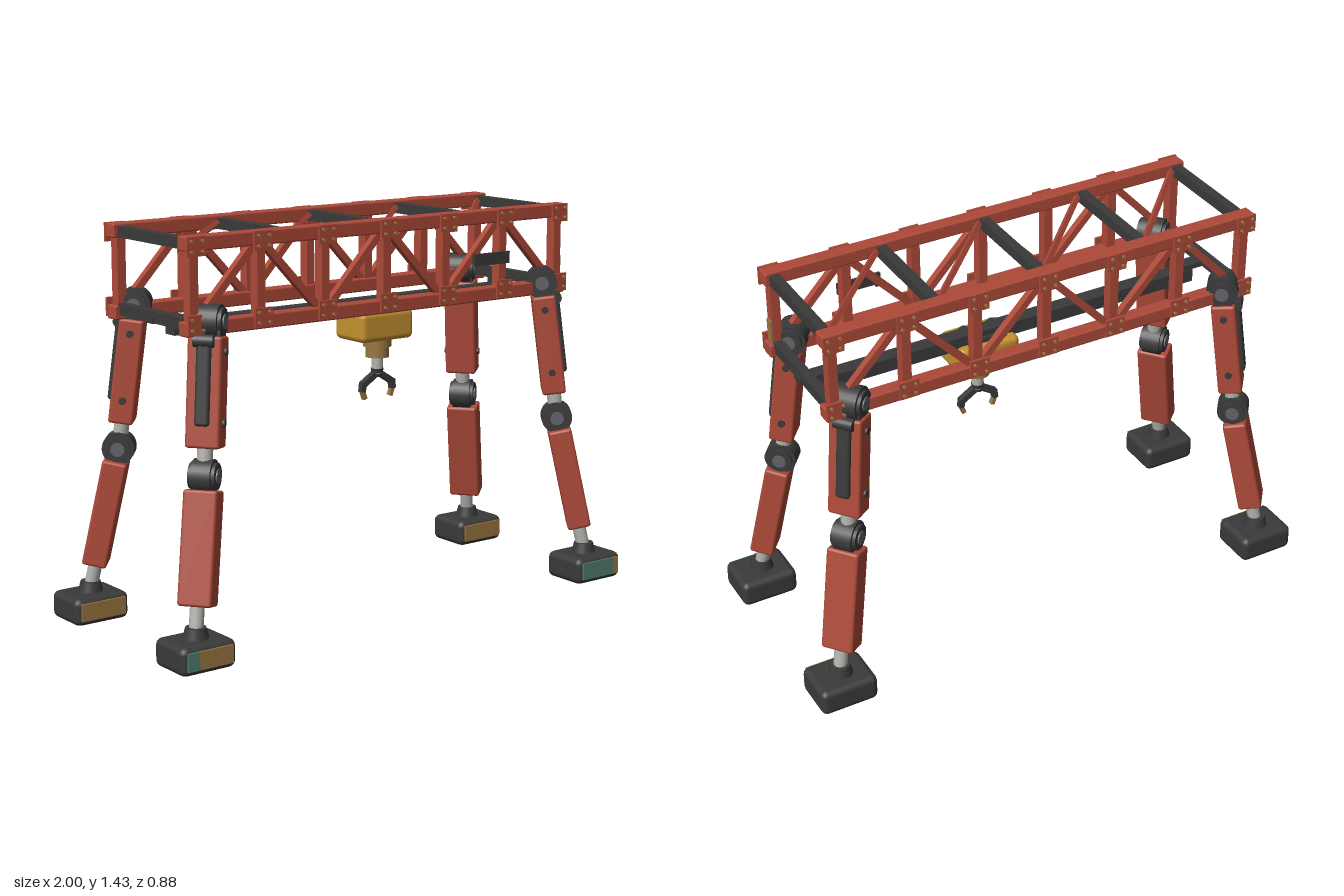
import * as THREE from 'three';
import { RoundedBoxGeometry } from 'three/addons/geometries/RoundedBoxGeometry.js';

const mat = (name, color) => Object.assign(new THREE.MeshStandardMaterial({ color }), { name });
const V = (x, y, z) => new THREE.Vector3(x, y, z);

export function createModel() {
  const red = mat('red paint', 0xad4a39);
  const dark = mat('dark metal', 0x3a3a3b);
  const hubGrey = mat('hub grey', 0x606268);
  const steel = mat('light steel', 0xb2b3ad);
  const yellow = mat('yellow paint', 0xc6922f);
  const tan = mat('tan metal', 0x9c7642);
  const teal = mat('teal panel', 0x51806f);

  const model = new THREE.Group();
  model.name = 'gantryWalker';
  const add = (parent, name, geo, material, x = 0, y = 0, z = 0) => {
    const m = new THREE.Mesh(geo, material);
    m.name = name;
    m.position.set(x, y, z);
    parent.add(m);
    return m;
  };
  const box = (w, h, d) => new THREE.BoxGeometry(w, h, d);
  const round = (w, h, d, r) => new RoundedBoxGeometry(w, h, d, 2, r);
  const cyl = (r, h, r2 = r, n = 24) => new THREE.CylinderGeometry(r, r2, h, n);
  const cylZ = (r, h, n = 24) => cyl(r, h, r, n).rotateX(Math.PI / 2);

  // Box beam running from a to b, its length on local y
  const beam = (parent, name, a, b, w, d, material) => {
    const dir = b.clone().sub(a);
    const m = add(parent, name, box(w, dir.length(), d), material);
    m.position.copy(a).add(b).multiplyScalar(0.5);
    m.quaternion.setFromUnitVectors(V(0, 1, 0), dir.normalize());
    return m;
  };

  // ---- Truss bridge ----
  const truss = new THREE.Group();
  truss.name = 'truss';
  truss.position.z = -0.007;
  model.add(truss);
  const TOP = 1.419, LOW = 1.134, SIDE = 0.228, STEP = 0.27;
  const boltGeo = cylZ(0.006, 0.01, 8);
  const gussetGeo = box(0.074, 0.066, 0.01);

  for (const s of [1, -1]) {
    for (const y of [TOP, LOW]) add(truss, 'chord', round(1.69, 0.05, 0.054, 0.006), red, 0, y, s * SIDE);
    for (let i = -3; i <= 3; i++) {
      const x = i * STEP;
      add(truss, 'post', box(0.033, TOP - LOW, 0.04), red, x, (TOP + LOW) / 2, s * SIDE);
      // Zigzag braces rise and fall in turn
      if (i < 3) {
        const up = (i + 3) % 2 === 0;
        beam(truss, 'sideBrace', V(x, up ? LOW : TOP, s * SIDE), V(x + STEP, up ? TOP : LOW, s * SIDE), 0.026, 0.026, red);
      }
      // Bolted gusset plates
      for (const y of [TOP - 0.008, LOW + 0.016]) {
        const gx = Math.abs(i) === 3 ? x - Math.sign(i) * 0.002 : x;
        add(truss, 'gusset', gussetGeo, red, gx, y, s * (SIDE + 0.031));
        for (const bx of [-0.022, 0.022]) for (const by of [-0.018, 0.018])
          add(truss, 'bolt', boltGeo, tan, gx + bx, y + by, s * (SIDE + 0.04));
      }
    }
  }

  // Cross members and plan bracing
  for (let i = -2; i <= 2; i++) {
    const x = i * 0.405;
    add(truss, 'topCrossbar', box(0.036, 0.038, 0.42), dark, x, TOP - 0.003, 0);
    if (i < 2) beam(truss, 'topBrace', V(x + 0.02, TOP, 0.2), V(x + 0.395, TOP, -0.2), 0.018, 0.018, red);
  }
  for (const s of [1, -1]) add(truss, 'lowerCrossbar', box(0.036, 0.04, 0.42), dark, s * 0.81, 1.146, 0);

  // Hoist rail and its hangers
  add(truss, 'rail', box(1.5, 0.05, 0.056), dark, 0, 1.101, 0);
  for (const s of [1, -1]) add(truss, 'railHanger', box(0.13, 0.02, 0.05), dark, s * 0.77, 1.135, 0);

  // Side plate and end plate
  add(truss, 'sidePlate', box(0.168, 0.044, 0.01), dark, 0.468, 1.267, 0.268);
  for (const s of [1, -1]) add(truss, 'plateMount', box(0.02, 0.02, 0.04), dark, 0.468 + s * 0.06, 1.267, 0.25);
  add(truss, 'endPlate', box(0.008, 0.08, 0.03), tan, 0.829, 1.207, SIDE);

  // ---- Trolley with gripper ----
  const trolley = new THREE.Group();
  trolley.name = 'trolley';
  trolley.position.set(0.12, 0, 0.014);
  model.add(trolley);
  add(trolley, 'carriage', box(0.15, 0.03, 0.085), dark, 0, 1.09, -0.02);
  for (const sx of [1, -1]) for (const sz of [1, -1])
    add(trolley, 'wheel', cylZ(0.022, 0.016, 16), dark, sx * 0.055, 1.1, -0.02 + sz * 0.037);
  add(trolley, 'body', round(0.24, 0.112, 0.172, 0.022), yellow, 0, 1.032, 0);
  const arm = new THREE.Group();
  arm.name = 'gripperArm';
  arm.position.z = 0.018;
  trolley.add(arm);
  add(arm, 'collar', cyl(0.052, 0.03), tan, 0, 0.965, 0);
  add(arm, 'sleeve', cyl(0.044, 0.05), tan, 0, 0.935, 0);
  add(arm, 'rod', cyl(0.021, 0.07), steel, 0, 0.885, 0);
  add(arm, 'gripperHub', cyl(0.024, 0.03, 0.018), dark, 0, 0.852, 0);
  for (const s of [1, -1]) {
    beam(arm, 'finger', V(s * 0.006, 0.85, 0), V(s * 0.07, 0.81, 0), 0.022, 0.024, dark);
    beam(arm, 'fingerEnd', V(s * 0.066, 0.82, 0), V(s * 0.07, 0.785, 0), 0.02, 0.022, dark);
    beam(arm, 'fingerTip', V(s * 0.07, 0.79, 0), V(s * 0.058, 0.758, 0), 0.015, 0.018, tan);
  }

  // ---- Legs ----
  // Segment group at origin a, local y pointing up the leg, local x outward
  const segment = (parent, name, a, b, out) => {
    const g = new THREE.Group();
    const up = a.clone().sub(b).normalize();
    const z = out.clone().cross(up).normalize();
    const x = up.clone().cross(z);
    g.quaternion.setFromRotationMatrix(new THREE.Matrix4().makeBasis(x, up, z));
    g.position.copy(a);
    g.name = name;
    parent.add(g);
    return g;
  };
  // Hinge drum with stepped ends and grey caps
  const hinge = (g, name, len) => {
    add(g, name, cylZ(0.058, len), dark);
    add(g, name + 'Step', cylZ(0.046, len + 0.024), dark);
    add(g, name + 'Cap', cylZ(0.025, len + 0.034), hubGrey);
  };

  for (const sx of [1, -1]) for (const sz of [1, -1]) {
    const leg = new THREE.Group();
    leg.name = (sz > 0 ? 'front' : 'back') + (sx > 0 ? 'Left' : 'Right') + 'Leg';
    leg.position.z = -0.005;
    model.add(leg);
    const out = V(sx * 0.78, 0, sz * 0.63);
    const hip = V(sx * 0.745, 1.155, sz * 0.233);
    const knee = V(sx * 0.798, 0.64, sz * 0.274);
    const ankle = V(sx * 0.888, 0.12, sz * 0.345);

    // Upper leg
    const upper = segment(leg, 'upperLeg', hip, knee, out);
    hinge(upper, 'hipHinge', 0.085);
    add(upper, 'hipBracket', box(0.07, 0.07, 0.1), dark, 0, -0.04, 0);
    add(upper, 'thigh', round(0.088, 0.375, 0.12, 0.01), red, 0, -0.237, 0);
    add(upper, 'thighStrut', round(0.026, 0.3, 0.052, 0.012), dark, 0.046, -0.2, 0);
    add(upper, 'thighStrutEnd', cylZ(0.022, 0.07), dark, 0.046, -0.065, 0);
    for (const s of [1, -1]) for (const y of [-0.1, -0.34])
      add(upper, 'thighPin', cylZ(0.013, 0.012, 12), dark, 0, y, s * 0.062);
    add(upper, 'thighRod', cyl(0.027, 0.12), steel, 0, -0.45, 0);

    // Lower leg
    const lower = segment(leg, 'lowerLeg', knee, ankle, out);
    hinge(lower, 'kneeHinge', 0.07);
    add(lower, 'shin', round(0.088, 0.39, 0.12, 0.01), red, 0, -0.242, 0);
    add(lower, 'shinRod', cyl(0.025, 0.12), steel, 0, -0.48, 0);

    // Foot
    add(leg, 'ankle', cyl(0.036, 0.05, 0.048), dark, ankle.x, 0.122, ankle.z);
    add(leg, 'foot', round(0.218, 0.1, 0.182, 0.024), dark, sx * 0.89, 0.06, ankle.z);
    // Front panel, split in two colours on the front feet
    const pz = ankle.z + 0.093, px = sx * 0.89;
    if (sz < 0) {
      add(leg, 'footPanel', box(0.18, 0.064, 0.008), tan, px, 0.062, pz);
    } else {
      const [a, b] = sx > 0 ? [0.155, 0.025] : [0.045, 0.135];
      add(leg, 'tealFootPanel', box(a, 0.064, 0.008), teal, px - 0.09 + a / 2, 0.062, pz);
      add(leg, 'tanFootPanel', box(b, 0.064, 0.008), tan, px + 0.09 - b / 2, 0.062, pz);
    }
  }

  // Stand on the ground
  for (const child of model.children) child.position.y -= 0.01;
  return model;
}
